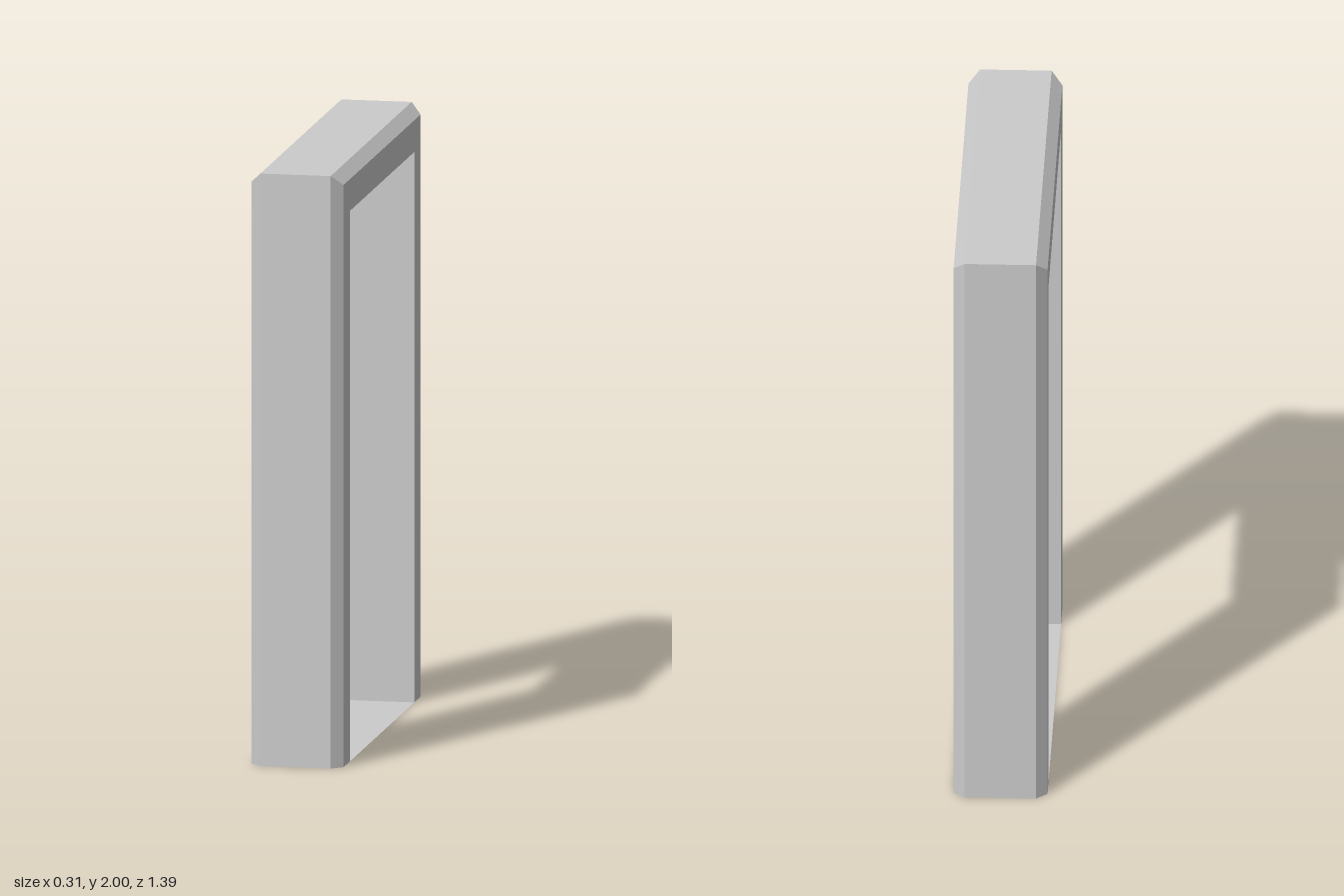
import * as THREE from 'three';

const HALF_DEPTH = 0.695, HEIGHT = 2, HALF_WIDTH = 0.156, BAND = 0.142;

// Hollow door surround: a chamfered section mitred up one jamb, across the head and down the other
function surroundGeometry() {
  // [x, distance inward from the outer edge]
  const section = [
    [-0.119, 0], [0.119, 0], [HALF_WIDTH, 0.035],
    [HALF_WIDTH, BAND], [-HALF_WIDTH, BAND], [-HALF_WIDTH, 0.035],
  ];
  // [side of z, 0 = floor or 1 = top]
  const stations = [[1, 0], [1, 1], [-1, 1], [-1, 0]];
  const rings = stations.map(([side, top]) => section.map(([x, inset]) =>
    [x, top * (HEIGHT - inset), side * (HALF_DEPTH - inset)]));

  const positions = [];
  for (let i = 0; i < rings.length - 1; i++) {
    for (let j = 0; j < section.length; j++) {
      const k = (j + 1) % section.length;
      const a = rings[i][j], b = rings[i][k], c = rings[i + 1][k], d = rings[i + 1][j];
      positions.push(...a, ...b, ...c, ...a, ...c, ...d);
    }
  }
  const geometry = new THREE.BufferGeometry();
  geometry.setAttribute('position', new THREE.Float32BufferAttribute(positions, 3));
  geometry.computeVertexNormals();
  return geometry;
}

export function createModel() {
  const material = new THREE.MeshStandardMaterial({
    color: 0xcccccc, flatShading: true, side: THREE.DoubleSide,
  });
  const group = new THREE.Group();
  group.name = 'doorFrame';

  // Jambs and head; the jambs are open at the floor
  const surround = new THREE.Mesh(surroundGeometry(), material);
  surround.name = 'jambsAndHead';

  // Thin sill lying between the jambs
  const sill = new THREE.Mesh(
    new THREE.PlaneGeometry(2 * HALF_WIDTH, 2 * (HALF_DEPTH - BAND)).rotateX(-Math.PI / 2), material);
  sill.name = 'threshold';

  group.add(surround, sill);
  return group;
}
